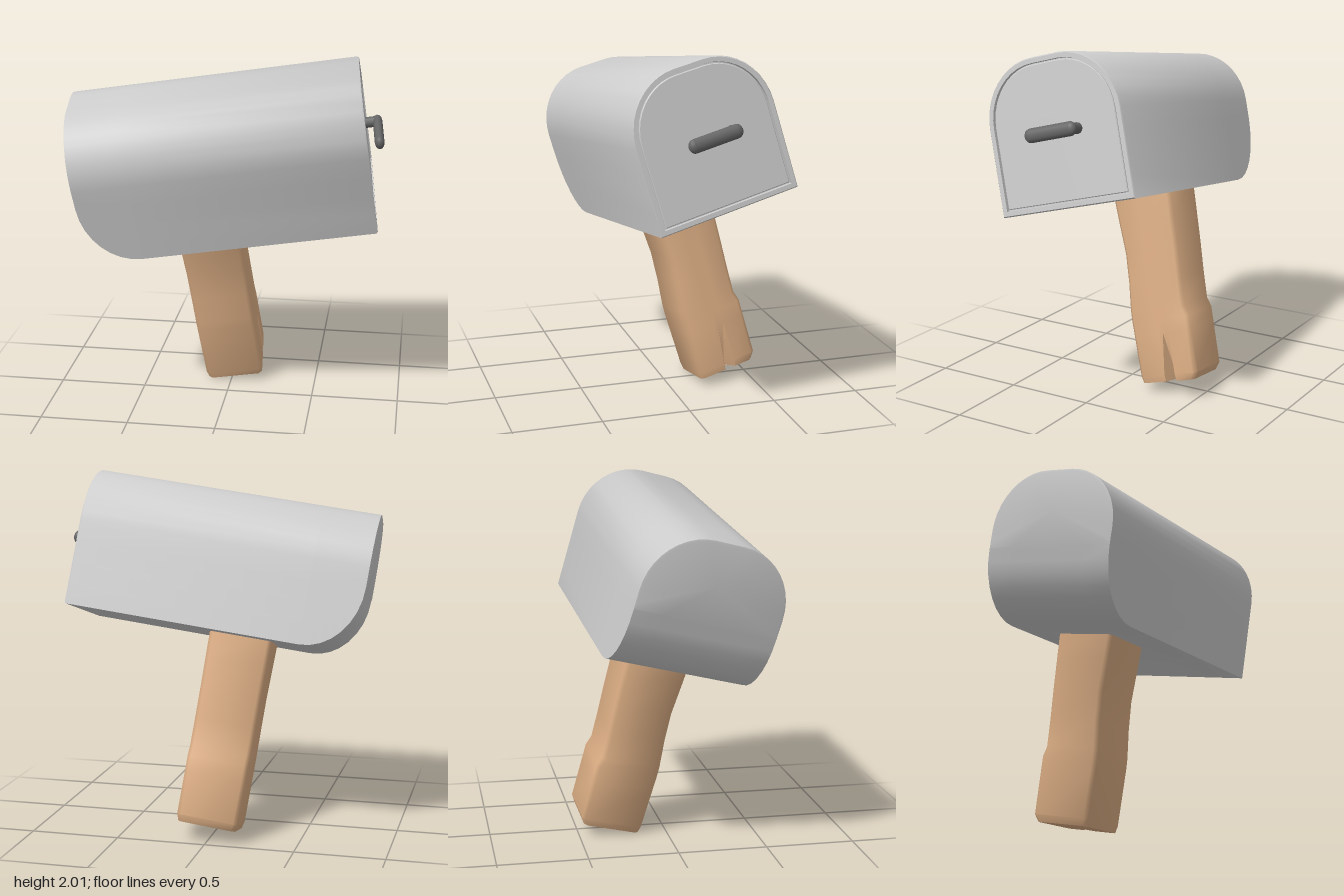
import * as THREE from 'three';
import { toCreasedNormals } from 'three/addons/utils/BufferGeometryUtils.js';

const metal = new THREE.MeshStandardMaterial({ color: 0xcccccc });
const darkMetal = new THREE.MeshStandardMaterial({ color: 0x666666 });
const wood = new THREE.MeshStandardMaterial({ color: 0xdcae84 });

// Skin a list of closed rings and cap both ends with a fan
function loft(rings, crease) {
  const n = rings[0].length, pos = [], index = [];
  rings.forEach(r => r.forEach(p => pos.push(...p)));
  for (let i = 0; i < rings.length - 1; i++) {
    for (let j = 0; j < n; j++) {
      const a = i * n + j, b = i * n + (j + 1) % n;
      index.push(a, b, b + n, a, b + n, a + n);
    }
  }
  [0, rings.length - 1].forEach((k, end) => {
    const centre = pos.length / 3;
    for (let c = 0; c < 3; c++) pos.push(rings[k].reduce((s, p) => s + p[c], 0) / n);
    for (let j = 0; j < n; j++) {
      const a = k * n + j, b = k * n + (j + 1) % n;
      index.push(centre, end ? a : b, end ? b : a);
    }
  });
  const g = new THREE.BufferGeometry();
  g.setAttribute('position', new THREE.Float32BufferAttribute(pos, 3));
  g.setIndex(index);
  return toCreasedNormals(g, crease);
}

// Arched cross-section: flat floor, straight sides, elliptical shoulders
function archRing(x, inset = 0, floor = 0) {
  const half = 0.397 - inset, top = 0.78 - inset, bottom = floor - 0.018 + inset;
  const middle = 0.013, spring = 0.45, flat = 0.08, steps = 10;
  const ring = [], side = [];
  for (let i = 1; i < 4; i++) side.push([bottom + (spring - bottom) * i / 4, half]);
  for (let i = 0; i <= steps; i++) {
    const t = i / steps * Math.PI / 2;
    side.push([spring + (top - spring) * Math.sin(t), flat + (half - flat) * Math.cos(t)]);
  }
  for (let i = 0; i < 6; i++) ring.push([x, bottom, middle + half * (1 - 2 * i / 5)]);
  side.forEach(([y, z]) => ring.push([x, y, middle - z]));
  side.reverse().forEach(([y, z]) => ring.push([x, y, middle + z]));
  return ring;
}

// Chamfered square section of the post, with a split of depth d in its door-side face
function postRing(y, front, back, hl, d = 0) {
  const c = 0.02;
  return [
    [hl, 0.025], [hl - d, -0.007], [hl, -0.04],
    [hl, -back + c], [hl - c, -back], [-hl + c, -back], [-hl, -back + c],
    [-hl, front - c], [-hl + c, front], [hl - c, front], [hl, front - c],
  ].map(([x, z]) => [x - 0.957, y, z]);
}

export function createModel() {
  const model = new THREE.Group();
  model.name = 'mailbox';
  const add = (name, geometry, material) => {
    const mesh = new THREE.Mesh(geometry, material);
    mesh.name = name;
    model.add(mesh);
    return mesh;
  };

  // Body: the floor sweeps up at the rear in a quarter ellipse
  const body = [archRing(-1.603, 0.012, 0.36)];
  for (let i = 0; i <= 8; i++) {
    const t = i / 8 * Math.PI / 2;
    body.push(archRing(-1.3 - 0.3 * Math.cos(t), 0, 0.36 * (1 - Math.sin(t))));
  }
  // Rim and shallow groove at the door end
  body.push(
    archRing(-0.008, 0),
    archRing(0, 0.006),
    archRing(0, 0.03),
    archRing(-0.018, 0.032),
  );
  add('body', loft(body, 0.9), metal);

  // Door panel inside the rim
  add('door', loft([archRing(-0.03, 0.038), archRing(-0.01, 0.038), archRing(-0.006, 0.042)], 0.6), metal);

  // Hooked handle: flattened grip bar on a single stem
  const grip = add('handleGrip', new THREE.CapsuleGeometry(0.033, 0.24, 6, 12), darkMetal);
  grip.rotation.x = Math.PI / 2;
  grip.scale.set(0.8, 1, 1.15);
  grip.position.set(0.062, 0.38, 0.005);
  const stem = add('handleStem', new THREE.CylinderGeometry(0.03, 0.03, 0.09, 12), darkMetal);
  stem.rotation.z = Math.PI / 2;
  stem.position.set(0.02, 0.38, -0.115);

  // Weathered wooden post, split and chipped near the foot
  const post = [
    postRing(-1.08, 0.178, 0.15, 0.16, 0.09),
    postRing(-1.04, 0.182, 0.175, 0.17, 0.08),
    postRing(-0.8, 0.185, 0.178, 0.17),
    postRing(-0.715, 0.186, 0.179, 0.17),
    postRing(-0.66, 0.184, 0.161, 0.17),
    postRing(-0.5, 0.167, 0.166, 0.17),
    postRing(-0.336, 0.158, 0.175, 0.17),
    postRing(-0.15, 0.168, 0.181, 0.172),
    postRing(0.04, 0.176, 0.187, 0.174),
  ];
  add('post', loft(post, 0.9), wood);

  // Lean the whole mailbox
  const along = new THREE.Vector3(0.988, 0.143, -0.06).normalize();
  const across = along.clone().cross(new THREE.Vector3(-0.134, 0.957, 0.258)).normalize();
  const up = across.clone().cross(along);
  model.quaternion.setFromRotationMatrix(new THREE.Matrix4().makeBasis(along, up, across));
  model.position.set(0.82, 1.225, -0.12);
  return model;
}
